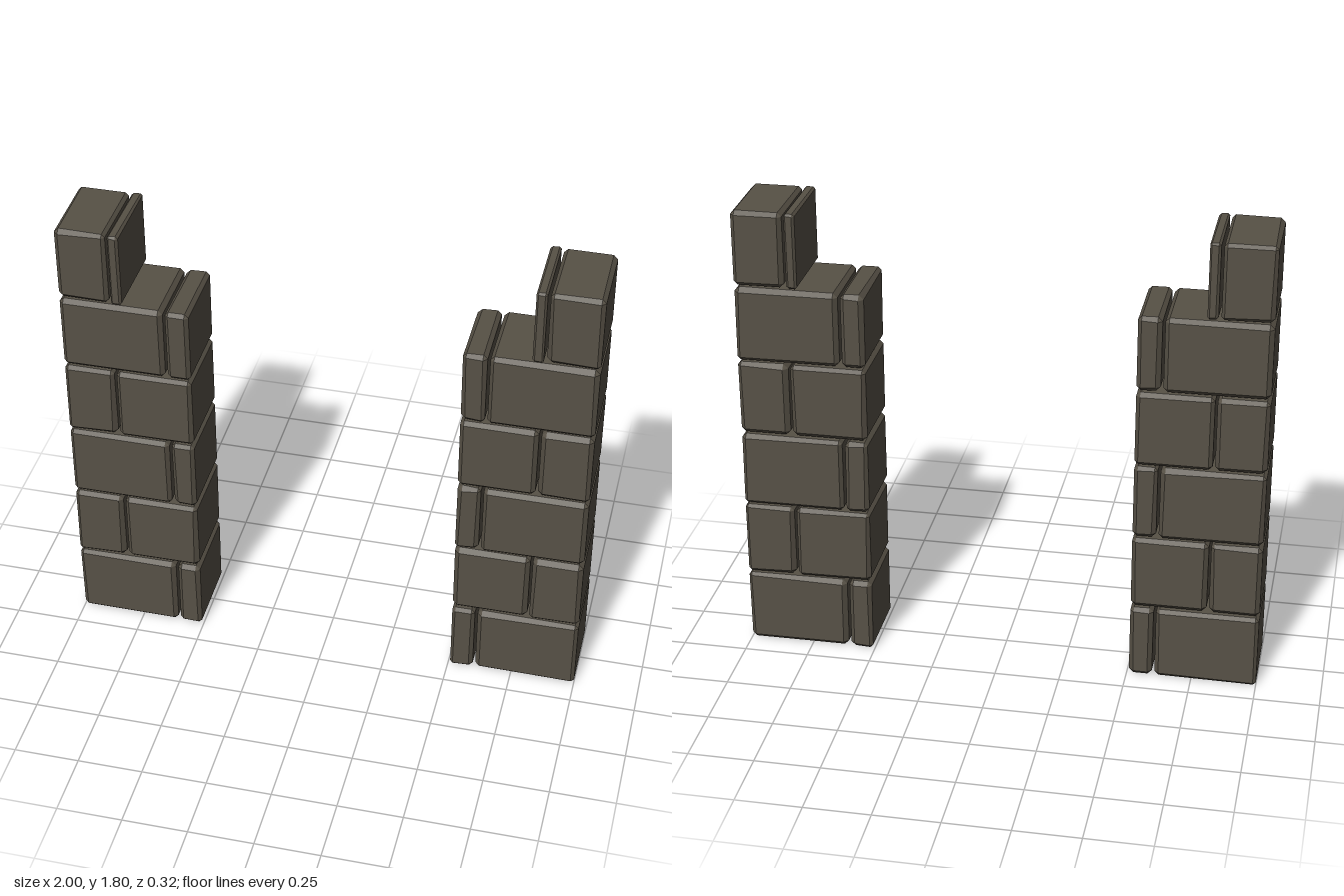
import * as THREE from 'three';
import { ConvexGeometry } from 'three/addons/geometries/ConvexGeometry.js';

// Small seeded generator for slightly uneven chamfers
let seed = 7;
function rand() {
  seed = (seed * 16807) % 2147483647;
  return seed / 2147483647;
}

// Box with a chamfer that varies a little from corner to corner
function stoneGeometry(w, h, d) {
  const points = [];
  const base = Math.min(0.015, w * 0.2);
  for (const sx of [-1, 1]) for (const sy of [-1, 1]) for (const sz of [-1, 1]) {
    const b = base * (0.75 + 0.5 * rand());
    const x = w / 2, y = h / 2, z = d / 2;
    points.push(
      new THREE.Vector3(sx * x, sy * (y - b), sz * (z - b)),
      new THREE.Vector3(sx * (x - b), sy * y, sz * (z - b)),
      new THREE.Vector3(sx * (x - b), sy * (y - b), sz * z)
    );
  }
  return new ConvexGeometry(points);
}

export function createModel() {
  const model = new THREE.Group();
  model.name = 'gatePillars';
  const stone = new THREE.MeshStandardMaterial({ color: 0x575146 });
  stone.name = 'darkStone';
  stone.flatShading = true;

  // Distances from the centre line: [inner edge, outer edge] of each stone
  const wideCourse = [[0.607, 1.0], [0.508, 0.597]];
  const splitCourse = [[0.807, 1.0], [0.508, 0.798]];
  const topCourse = [[0.807, 1.0], [0.757, 0.797]];
  const courses = [wideCourse, splitCourse, wideCourse, splitCourse, wideCourse, topCourse];
  const pitch = 0.3014, height = 0.293, depth = 0.318;

  for (const side of [-1, 1]) {
    const pillar = new THREE.Group();
    pillar.name = side > 0 ? 'leftPillar' : 'rightPillar';
    courses.forEach((course, row) => {
      course.forEach(([inner, outer], i) => {
        const block = new THREE.Mesh(stoneGeometry(outer - inner, height, depth), stone);
        block.name = (i === 0 ? 'outerStone' : 'innerStone') + (row + 1);
        block.position.set(side * (inner + outer) / 2, row * pitch + height / 2, 0);
        pillar.add(block);
      });
    });
    model.add(pillar);
  }
  return model;
}
